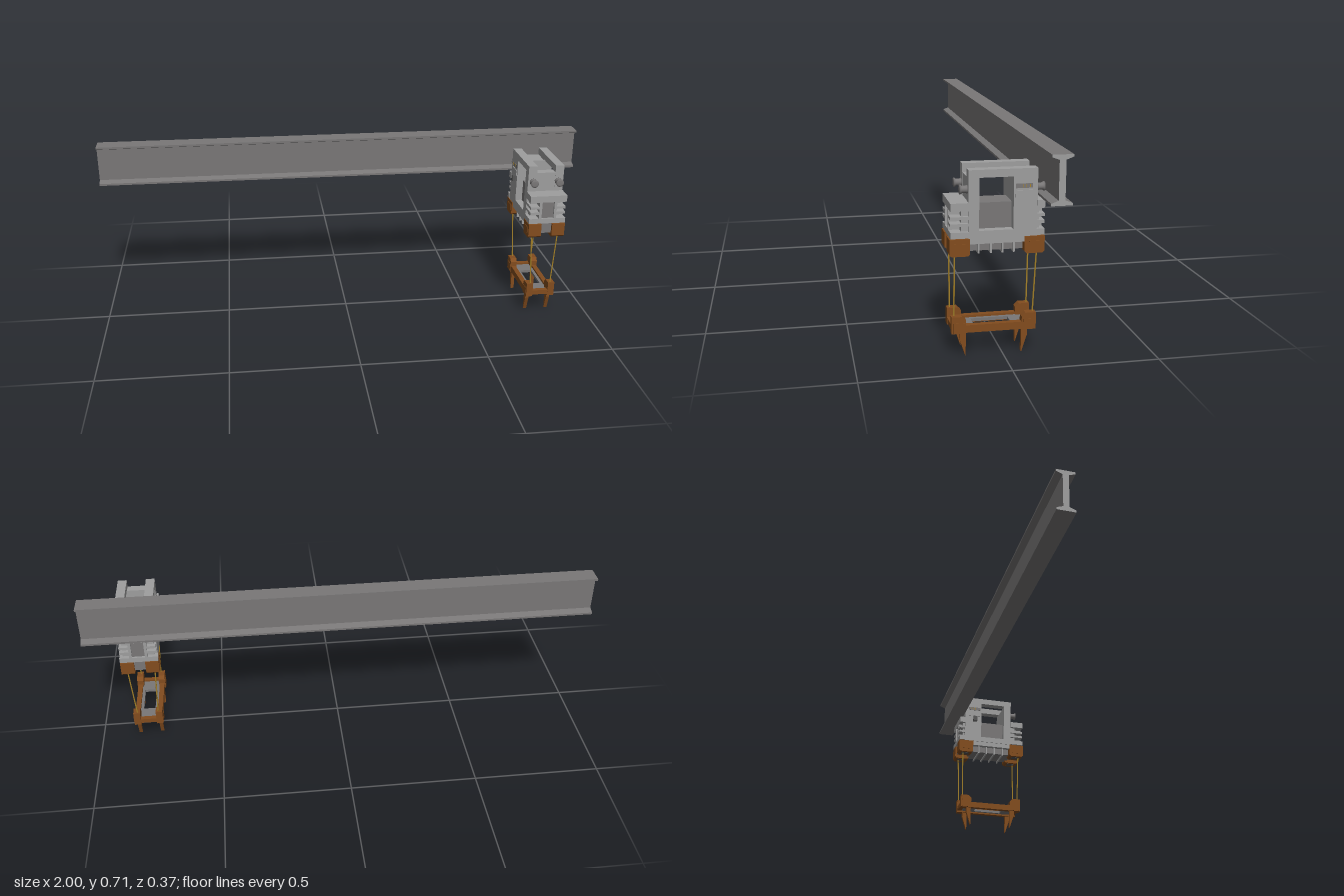
import * as THREE from 'three';

const mat = (name, color, side = THREE.FrontSide) => {
  const m = new THREE.MeshStandardMaterial({ color, side });
  m.name = name;
  return m;
};

export function createModel() {
  const light = mat('lightGrey', 0x9e9e9e);
  const dark = mat('steelGrey', 0x797777);
  const shade = mat('charcoal', 0x555555);
  const brown = mat('rustBrown', 0x824c1e);
  const yellow = mat('cableYellow', 0xa8842a);

  const model = new THREE.Group();
  model.name = 'overheadCrane';
  const trolley = new THREE.Group();
  trolley.name = 'trolley';
  trolley.position.x = 0.8;
  const grab = new THREE.Group();
  grab.name = 'grab';
  trolley.add(grab);
  model.add(trolley);

  const add = (parent, name, geo, material) => {
    const m = new THREE.Mesh(geo, material);
    m.name = name;
    parent.add(m);
    return m;
  };
  // box given by its limits
  const box = (parent, name, material, x0, x1, y0, y1, z0, z1) => {
    const g = new THREE.BoxGeometry(Math.abs(x1 - x0), y1 - y0, Math.abs(z1 - z0));
    g.translate((x0 + x1) / 2, (y0 + y1) / 2, (z0 + z1) / 2);
    return add(parent, name, g, material);
  };
  // [z, y] outline extruded from x0 to x1
  const prism = (parent, name, material, pts, x0, x1, hole) => {
    const v = (list) => list.map(([z, y]) => new THREE.Vector2(z, y));
    const shape = new THREE.Shape(v(pts));
    if (hole) shape.holes.push(new THREE.Path(v(hole)));
    const g = new THREE.ExtrudeGeometry(shape, { depth: x1 - x0, bevelEnabled: false });
    g.rotateY(-Math.PI / 2);
    g.translate(x1, 0, 0);
    return add(parent, name, g, material);
  };

  // I-beam rail with lighter cut ends
  const half = [[0.035, 0.082], [0.035, 0.074], [0.011, 0.065],
    [0.011, -0.065], [0.035, -0.074], [0.035, -0.082]];
  const outline = [...half, ...half.map(([z, y]) => [-z, -y])];
  prism(model, 'beam', [light, dark], outline.map(([z, y]) => [z - 0.15, y + 0.625]), -1, 1);

  // side frames with a square window, joined by end blocks and a low floor
  for (const s of [-1, 1]) {
    const [x0, x1] = s > 0 ? [0.038, 0.073] : [-0.073, -0.038];
    prism(trolley, 'sideFrame', light,
      [[-0.107, 0.413], [0.122, 0.413], [0.122, 0.64], [-0.107, 0.64]], x0, x1,
      [[-0.027, 0.438], [0.087, 0.438], [0.087, 0.614], [-0.027, 0.614]]);
    // control panel: slot, hood and yellow marks
    box(trolley, 'panelSlot', dark, s * 0.073, s * 0.0745, 0.575, 0.59, -0.09, -0.033);
    for (const z of [-0.058, -0.068, -0.08])
      box(trolley, 'panelMark', yellow, s * 0.0745, s * 0.0755, 0.577, 0.588, z, z - 0.002);
    box(trolley, 'panelPlate', light, s * 0.073, s * 0.076, 0.545, 0.568, -0.09, -0.033);
  }
  box(trolley, 'rearBlock', light, -0.038, 0.038, 0.413, 0.611, -0.106, -0.027);
  box(trolley, 'frontBlock', light, -0.038, 0.038, 0.413, 0.611, 0.087, 0.121);
  box(trolley, 'floor', dark, -0.045, 0.045, 0.413, 0.525, -0.027, 0.087);
  box(trolley, 'sideSwitch', shade, -0.085, -0.073, 0.515, 0.54, -0.068, -0.05);

  // finned cooling stacks on both ends
  const stack = (zIn, zOut) => {
    const mid = zIn + (zOut - zIn) * 0.4;
    box(trolley, 'stackTop', light, -0.075, 0.075, 0.506, 0.533, zIn, zOut);
    box(trolley, 'stackBase', light, -0.075, 0.075, 0.415, 0.436, zIn, zOut);
    box(trolley, 'stackCore', light, -0.062, 0.062, 0.436, 0.506, zIn, mid);
    box(trolley, 'stackSpine', dark, -0.03, 0.03, 0.37, 0.506, zIn, zOut - Math.sign(zOut) * 0.008);
    for (const s of [-1, 1]) {
      box(trolley, 'stackPost', light, s * 0.025, s * 0.036, 0.415, 0.506, zIn, zOut);
      for (const y of [0.459, 0.482])
        box(trolley, 'coolingFin', light, s * 0.03, s * 0.072, y - 0.005, y + 0.005, zIn, zOut);
    }
  };
  stack(0.12, 0.182);
  stack(-0.105, -0.132);

  // round buffers with a flared rim
  const bufferProfile = [[0, 0], [0.014, 0], [0.014, 0.005], [0.012, 0.007], [0.012, 0.021],
    [0.016, 0.024], [0.016, 0.028], [0.01, 0.029], [0, 0.029]].map(([r, h]) => new THREE.Vector2(r, h));
  for (const s of [-1, 1]) for (const e of [-1, 1]) {
    const b = add(trolley, 'buffer', new THREE.LatheGeometry(bufferProfile, 16), dark);
    b.rotation.x = e * Math.PI / 2;
    b.position.set(s * 0.052, 0.574, e > 0 ? 0.121 : -0.106);
  }

  // underside with hanging ribs
  box(trolley, 'underside', dark, -0.05, 0.05, 0.365, 0.415, -0.075, 0.13);
  box(trolley, 'undersideLip', light, -0.07, 0.07, 0.393, 0.415, -0.1, 0.12);
  for (const z of [0.085, 0.044, 0.005, -0.033])
    box(trolley, 'rib', light, -0.06, 0.06, 0.357, 0.393, z - 0.003, z + 0.003);

  // corner winch housings, cables and the grab's corner posts
  for (const s of [-1, 1]) for (const e of [-1, 1]) {
    const zc = e > 0 ? 0.151 : -0.099;
    const [x0, x1] = s > 0 ? [0.022, 0.075] : [-0.075, -0.022];
    const c = 0.007, w = 0.034;
    prism(trolley, 'winchHousing', brown, [[zc - w + c, 0.354], [zc + w - c, 0.354],
      [zc + w, 0.354 + c], [zc + w, 0.412], [zc - w, 0.412], [zc - w, 0.354 + c]], x0, x1);
    box(trolley, 'winchCover', brown, s * 0.075, s * 0.077, 0.37, 0.397, zc - 0.019, zc + 0.019);
    box(trolley, 'cableHole', shade, s * 0.035, s * 0.063, 0.353, 0.355, zc - 0.018, zc + 0.018);

    const top = new THREE.Vector3(s * 0.054, 0.356, e > 0 ? 0.165 : -0.111);
    const low = new THREE.Vector3(s * 0.042, 0.135, e > 0 ? 0.165 : -0.104);
    add(trolley, 'cable', new THREE.TubeGeometry(new THREE.LineCurve3(low, top), 1, 0.0027, 8), yellow);

    const zo = e > 0 ? 0.175 : -0.113, zi = e > 0 ? 0.126 : -0.064;
    const [g0, g1] = s > 0 ? [0.032, 0.059] : [-0.059, -0.032];
    prism(grab, 'grabCorner', brown, [[zo, 0.081], [zo, 0.14], [zi + e * 0.013, 0.14],
      [zi, 0.127], [zi, 0.081]], g0, g1);
    box(grab, 'grabCover', brown, s * 0.059, s * 0.0605, 0.083, 0.118, zo - e * 0.005, zi + e * 0.005);
    // tapered claw
    prism(grab, 'claw', brown, [[zi, 0.082], [zi + e * 0.021, 0.082],
      [zi + e * 0.021, 0.06], [zi + e * 0.002, 0], [zi, 0]],
    s > 0 ? 0.038 : -0.052, s > 0 ? 0.052 : -0.038);
  }

  // grab frame: long rails, end bars and grey cross plates
  for (const s of [-1, 1])
    box(grab, 'grabRail', brown, s * 0.036, s * 0.056, 0.082, 0.108, -0.1, 0.16);
  box(grab, 'grabEndBar', brown, -0.04, 0.04, 0.088, 0.107, 0.155, 0.174);
  box(grab, 'grabEndBar', brown, -0.04, 0.04, 0.088, 0.107, -0.112, -0.093);
  for (const [z0, z1] of [[0.095, 0.155], [-0.093, -0.033]])
    box(grab, 'crossPlate', dark, -0.037, 0.037, 0.089, 0.1, z0, z1);
  for (const s of [-1, 1])
    box(grab, 'innerRail', dark, s * 0.024, s * 0.037, 0.089, 0.1, -0.033, 0.095);

  return model;
}
